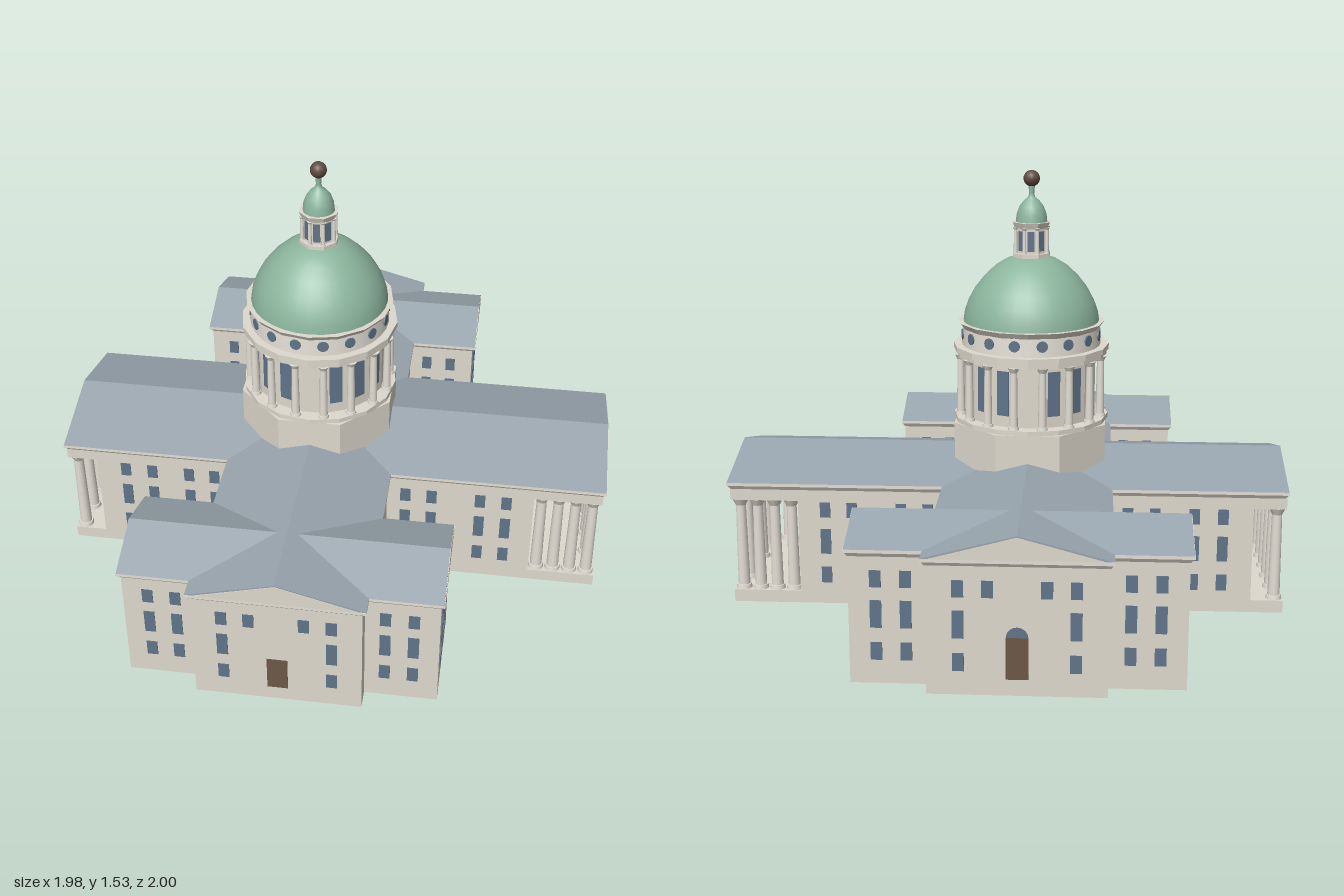
import * as THREE from 'three';

const mat = (name, color, extra = {}) =>
  Object.assign(new THREE.MeshStandardMaterial({ color, ...extra }), { name });

export function createModel() {
  const stone = mat('wall stone', 0xdfd9cd, { side: THREE.DoubleSide });
  const trim = mat('light trim stone', 0xe4dfd5);
  const slate = mat('slate roof', 0x98a4ad);
  const copper = mat('green copper', 0x8cb59d);
  const glass = mat('window glass', 0x60758b);
  const wood = mat('door wood', 0x6d5847);
  const bronze = mat('bronze ball', 0x5f4a40);
  const flatStone = mat('tower stone', 0xdfd9cd, { flatShading: true });

  const model = new THREE.Group();
  model.name = 'capitolBuilding';
  let target = model;
  const group = (name) => {
    target = new THREE.Group();
    target.name = name;
    model.add(target);
    return target;
  };
  const add = (name, geo, m, x = 0, y = 0, z = 0, ry = 0) => {
    const mesh = new THREE.Mesh(geo, m);
    mesh.name = name;
    mesh.position.set(x, y, z);
    mesh.rotation.y = ry;
    target.add(mesh);
    return mesh;
  };
  // Box given by its limits; the bottom can be drawn in by an inset
  const block = (name, x0, x1, y0, y1, z0, z1, m = stone, inset = 0) => {
    const g = new THREE.BoxGeometry(x1 - x0, y1 - y0, z1 - z0);
    const p = g.attributes.position;
    for (let i = 0; i < p.count; i++) {
      if (p.getY(i) > 0) continue;
      p.setX(i, p.getX(i) - Math.sign(p.getX(i)) * inset);
      p.setZ(i, p.getZ(i) - Math.sign(p.getZ(i)) * inset);
    }
    g.computeVertexNormals();
    return add(name, g, m, (x0 + x1) / 2, (y0 + y1) / 2, (z0 + z1) / 2);
  };
  // Four outer walls, hollow and open underneath
  const walls = (name, x0, x1, z0, z1) => {
    const g = block(name, x0, x1, 0, 0.43, z0, z1).geometry;
    const index = Array.from(g.index.array);
    g.clearGroups();
    g.setIndex([...index.slice(0, 12), ...index.slice(24)]);
  };
  // Thin plate lying on a wall that faces the angle ry
  const plate = (name, x, y, z, w, h, ry, m = glass) =>
    add(name, new THREE.BoxGeometry(w, h, 0.005), m, x, y, z, ry);
  // Triangular prism centred on its run, along z or along x
  const prism = (name, half, y0, y1, length, m, x, z, alongX) => {
    const s = new THREE.Shape([[-half, y0], [half, y0], [0, y1]].map((p) => new THREE.Vector2(...p)));
    const g = new THREE.ExtrudeGeometry(s, { depth: length, bevelEnabled: false });
    g.translate(0, 0, -length / 2);
    add(name, g, m, x, 0, z, alongX ? Math.PI / 2 : 0);
  };
  const column = (x, z, y0, y1, r) => {
    const h = y1 - y0, c = r * 0.7;
    add('columnShaft', new THREE.CylinderGeometry(r * 0.8, r, h, 12), trim, x, (y0 + y1) / 2, z);
    add('columnBase', new THREE.CylinderGeometry(r * 1.2, r * 1.3, c, 12), trim, x, y0 + c / 2, z);
    add('columnCapital', new THREE.CylinderGeometry(r * 1.4, r * 0.85, c * 1.6, 12), trim, x, y1 - c * 0.8, z);
  };
  const ROWS = [[0.11, 0.06], [0.235, 0.092], [0.353, 0.056]];
  const windowStack = (x, z, ry) => ROWS.forEach(([y, h]) => plate('window', x, y, z, 0.037, h, ry));
  const archedDoor = (x, z, ry, y0) => {
    plate('door', x, (y0 + 0.195) / 2, z, 0.07, 0.195 - y0, ry, wood);
    const d = 0.0025;
    add('archWindow', new THREE.CircleGeometry(0.035, 16, 0, Math.PI), glass,
      x + Math.sin(ry) * d, 0.195, z + Math.cos(ry) * d, ry);
  };
  const CX = -0.077, EAST = Math.PI / 2, WEST = -Math.PI / 2;

  // Cornice and roof for one wing (limits are those of the eaves)
  const roof = (x0, x1, z0, z1, ridge, alongX) => {
    const cx = (x0 + x1) / 2, cz = (z0 + z1) / 2;
    const half = (alongX ? z1 - z0 : x1 - x0) / 2, len = alongX ? x1 - x0 : z1 - z0;
    block('corniceLower', x0 + 0.003, x1 - 0.003, 0.426, 0.441, z0 + 0.003, z1 - 0.003, trim, 0.01);
    block('corniceUpper', x0, x1, 0.441, 0.452, z0, z1, trim);
    prism('roof', half, 0.452, ridge, len - 0.004, slate, cx, cz, alongX);
    prism('pediment', half - 0.025, 0.452, ridge - 0.005, len, stone, cx, cz, alongX);
  };

  // Long wing with a portico at each end
  group('longWing');
  walls('longWingWalls', -0.868, 0.737, -0.285, 0.285);
  roof(-0.988, 0.988, -0.3, 0.3, 0.532, true);
  for (const s of [1, -1]) {
    const ry = s > 0 ? 0 : Math.PI;
    for (const x of [-0.763, -0.663, -0.525, -0.43, 0.275, 0.37, 0.545, 0.64]) windowStack(x, s * 0.285, ry);
  }
  const portico = (name, inner, outer, sideXs) => {
    group(name);
    const s = Math.sign(outer), a = Math.min(inner, outer), b = Math.max(inner, outer);
    block('porticoFloor', a, b, 0, 0.045, -0.285, 0.285);
    block('porticoEntablature', a, b, 0.385, 0.43, -0.285, 0.285);
    for (let i = 0; i < 6; i++) column(outer - s * 0.03, -0.257 + i * 0.1028, 0.045, 0.385, 0.022);
    for (const x of sideXs) for (const z of [-0.257, 0.257]) column(x, z, 0.045, 0.385, 0.022);
    const ry = s > 0 ? EAST : WEST;
    archedDoor(inner, 0, ry, 0.045);
    for (const z of [-0.143, 0.143]) plate('sideDoor', inner, 0.11, z, 0.045, 0.13, ry, wood);
  };
  portico('leftPortico', 0.737, 0.978, [0.765, 0.826, 0.887]);
  portico('rightPortico', -0.868, -0.982, []);

  // Deep wing running front to back
  group('deepWing');
  walls('deepWingWalls', -0.36, 0.208, -0.988, 0.988);
  roof(-0.375, 0.222, -1, 1, 0.531, false);
  for (const s of [1, -1]) {
    const ry = s > 0 ? 0 : Math.PI;
    for (const x of [-0.26, 0.107]) windowStack(x, s * 0.988, ry);
    for (const x of [-0.169, 0.015]) plate('window', x, 0.353, s * 0.988, 0.037, 0.056, ry);
    windowStack(0.208, s * 0.42, EAST);
    windowStack(-0.36, s * 0.42, WEST);
  }
  plate('frontDoor', CX, 0.12, 0.988, 0.07, 0.13, 0, wood);
  archedDoor(CX, -0.988, Math.PI, 0.055);

  // Cross wings near the front and the back
  for (const s of [1, -1]) {
    group(s > 0 ? 'frontCrossWing' : 'backCrossWing');
    const zc = s * 0.735;
    walls('crossWingWalls', -0.608, 0.457, zc - 0.185, zc + 0.185);
    roof(-0.622, 0.469, zc - 0.198, zc + 0.198, 0.522, true);
    for (const x of [-0.523, -0.429, 0.276, 0.371]) {
      windowStack(x, zc + 0.185, 0);
      windowStack(x, zc - 0.185, Math.PI);
    }
    for (const d of [-0.098, 0, 0.098]) {
      windowStack(0.457, zc + s * 0.005 + d, EAST);
      windowStack(-0.608, zc + s * 0.005 + d, WEST);
    }
  }

  // Tower with columns
  group('tower').position.x = CX;
  const ring = (name, r0, r1, y0, y1, n, turn, m = flatStone) =>
    add(name, new THREE.CylinderGeometry(r1, r0, y1 - y0, n), m, 0, (y0 + y1) / 2, 0, turn);
  const lathe = (name, pts, n, m) =>
    add(name, new THREE.LatheGeometry(pts.map((p) => new THREE.Vector2(...p)), n), m);
  const E = Math.PI / 8, S = Math.PI / 16;
  ring('octagonBase', 0.292, 0.292, 0.45, 0.633, 8, E);
  ring('drumFloor', 0.279, 0.279, 0.633, 0.65, 16, 0);
  ring('drumWall', 0.236, 0.236, 0.65, 0.88, 16, S);
  ring('entablature', 0.272, 0.272, 0.87, 0.888, 16, 0);
  ring('entablatureLip', 0.28, 0.28, 0.888, 0.908, 16, 0);
  ring('attic', 0.25, 0.246, 0.908, 0.975, 32, 0, trim);
  ring('domeCornice', 0.25, 0.264, 0.972, 0.992, 16, 0);
  for (let i = 0; i < 16; i++) {
    const a = S + i * E, sx = Math.sin(a), cz = Math.cos(a);
    column(0.256 * sx, 0.256 * cz, 0.65, 0.872, 0.015);
    add('roundWindow', new THREE.CylinderGeometry(0.02, 0.02, 0.009, 12).rotateX(Math.PI / 2),
      glass, 0.246 * sx, 0.945, 0.246 * cz, a);
    // Tall windows in every bay except the four facing the wings
    const b = i * E;
    if (i % 4) plate('drumWindow', 0.2322 * Math.sin(b), 0.77, 0.2322 * Math.cos(b), 0.045, 0.16, b);
  }

  // Dome
  lathe('dome', [[0.244, 0.99], [0.239, 1.025], [0.225, 1.065], [0.202, 1.108], [0.169, 1.15],
    [0.129, 1.188], [0.09, 1.212], [0.045, 1.228], [0, 1.23]], 32, copper);

  // Lantern and finial
  ring('lanternFloor', 0.07, 0.07, 1.222, 1.236, 8, E);
  ring('lanternWall', 0.054, 0.054, 1.236, 1.33, 8, E);
  ring('lanternCornice', 0.062, 0.071, 1.325, 1.346, 8, E);
  for (let i = 0; i < 8; i++) {
    const a = i * 2 * E;
    plate('lanternWindow', 0.05 * Math.sin(a), 1.28, 0.05 * Math.cos(a), 0.024, 0.07, a);
    column(0.06 * Math.sin(a + E), 0.06 * Math.cos(a + E), 1.236, 1.328, 0.007);
  }
  lathe('lanternDome', [[0.056, 1.345], [0.053, 1.372], [0.043, 1.4], [0.028, 1.42], [0.013, 1.432],
    [0.009, 1.445], [0.012, 1.48]], 16, copper);
  add('finialBall', new THREE.SphereGeometry(0.029, 16, 12), bronze, 0, 1.498, 0);

  return model;
}
